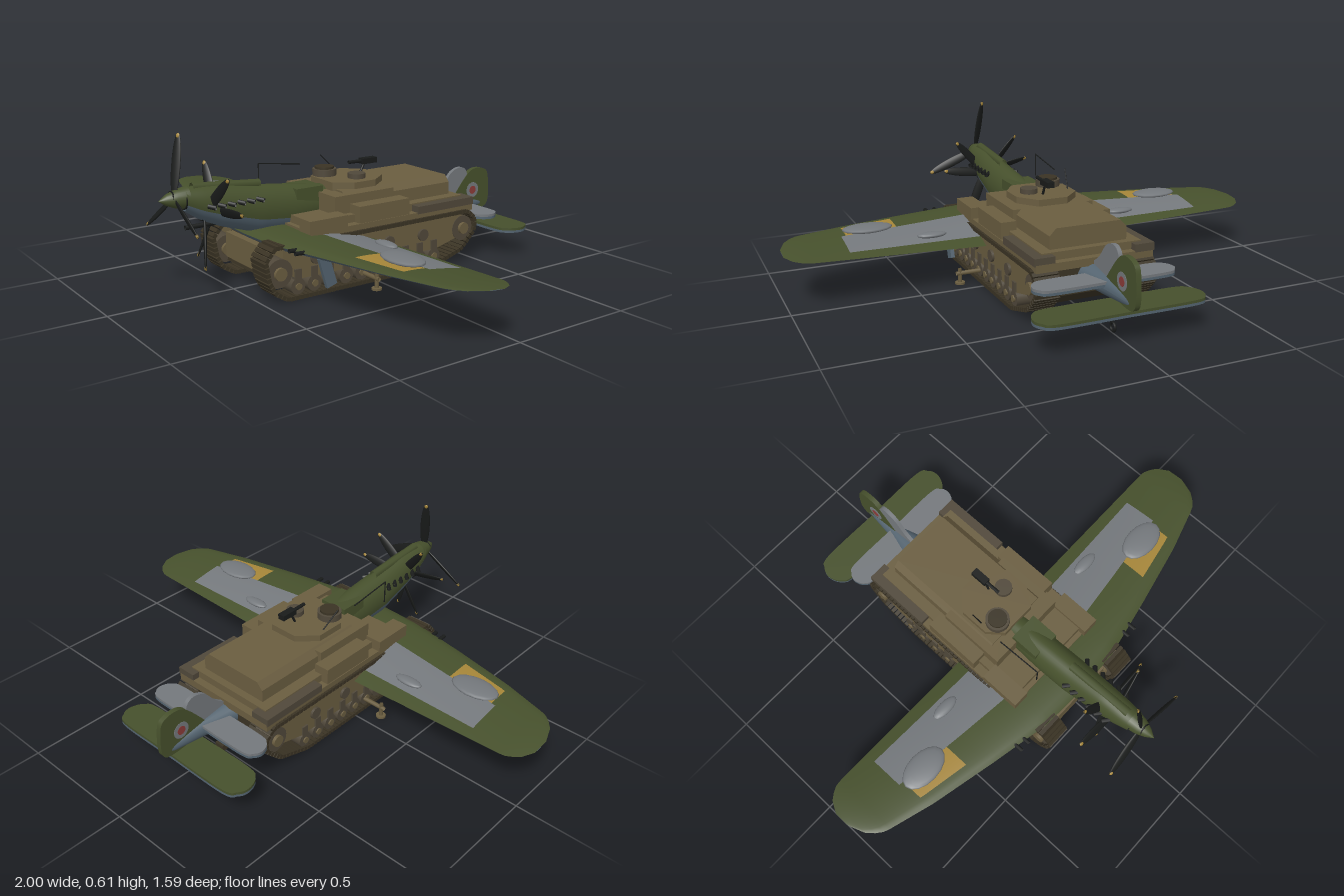
import * as THREE from 'three';
import { mergeGeometries } from 'three/addons/utils/BufferGeometryUtils.js';

const colors = { green: 0x46502c, grey: 0x74787c, blue: 0x53636f, brown: 0x6a5d40, dark: 0x3a3324, black: 0x191b1a, yellow: 0xa58538, red: 0x8a3b38, steel: 0x50483a };
const mats = {};
for (const k in colors) mats[k] = new THREE.MeshStandardMaterial({ color: colors[k], side: THREE.DoubleSide });

const lerpTable = (t, x) => {
  let i = 0;
  while (i < t.length - 2 && x > t[i + 1][0]) i++;
  const k = (x - t[i][0]) / (t[i + 1][0] - t[i][0]);
  return t[i].map((a, j) => a + (t[i + 1][j] - a) * k);
};

// surface patch from a rule f(u, v) -> [x, y, z]
function grid(f, nu, nv) {
  const pos = [], idx = [];
  for (let i = 0; i <= nu; i++) for (let j = 0; j <= nv; j++) pos.push(...f(i / nu, j / nv));
  for (let i = 0; i < nu; i++) for (let j = 0; j < nv; j++) {
    const a = i * (nv + 1) + j, b = a + nv + 1;
    idx.push(a, b, a + 1, b, b + 1, a + 1);
  }
  const g = new THREE.BufferGeometry();
  g.setAttribute('position', new THREE.Float32BufferAttribute(pos, 3));
  g.setIndex(idx);
  g.computeVertexNormals();
  return g;
}

function outline(pts, smooth) {
  const v = pts.map(p => new THREE.Vector2(...p));
  if (!smooth) return new THREE.Shape(v);
  const s = new THREE.Shape().moveTo(v[0].x, v[0].y);
  s.splineThru([...v.slice(1), v[0]]);
  return s;
}
const extrude = (s, depth) => new THREE.ExtrudeGeometry(s, { depth, bevelEnabled: false, curveSegments: 30 });
// side profile in (z, y), spanning x0..x1
const sideSlab = (s, x0, x1) => extrude(s, x1 - x0).rotateY(-Math.PI / 2).translate(x1, 0, 0);
// plan outline in (x, z), spanning y0..y1
const planSlab = (s, y0, y1) => extrude(s, y1 - y0).rotateX(Math.PI / 2).translate(0, y1, 0);

// wing table: x, leading z, trailing z, middle y, half thickness
const wingTable = [[0, .45, 0, .2, .045], [.2, .44, 0, .2, .042], [.45, .39, 0, .21, .028], [.72, .33, 0, .219, .018],
  [.92, .27, 0, .226, .011], [.97, .23, .025, .227, .007], [1, .15, .08, .228, .001]];
function wingPatch(side, top, x0, x1, c0, c1, lift = 0) {
  return grid((u, v) => {
    const x = x0 + (x1 - x0) * u, [, le, te, y, t] = lerpTable(wingTable, x);
    const c = c0 + (c1 - c0) * v, z = le + (te - le) * c;
    const profile = 1.9 * Math.sqrt(c) * (1 - c) * (1 + .5 * c);
    return [side * x, y + .1 * (z - .2) + top * (t * profile + lift), z];
  }, 40, 20);
}

export function createModel() {
  const root = new THREE.Group();
  const add = (name, geo, mat, x = 0, y = 0, z = 0, parent = root) => {
    const m = new THREE.Mesh(geo, mats[mat]);
    m.name = name;
    m.position.set(x, y, z);
    parent.add(m);
    return m;
  };
  const box = (name, mat, x0, x1, y0, y1, z0, z1) =>
    add(name, new THREE.BoxGeometry(x1 - x0, y1 - y0, z1 - z0), mat, (x0 + x1) / 2, (y0 + y1) / 2, (z0 + z1) / 2);
  const rod = (name, mat, a, b, r) => {
    const p = new THREE.Vector3(...a), q = new THREE.Vector3(...b);
    return add(name, new THREE.TubeGeometry(new THREE.LineCurve3(p, q), 1, r, 8), mat);
  };
  const disc = (name, mat, r, h, x, y, z, axis = 'y') => {
    const g = new THREE.CylinderGeometry(r, r, h, 20);
    if (axis === 'x') g.rotateZ(Math.PI / 2);
    if (axis === 'z') g.rotateX(Math.PI / 2);
    return add(name, g, mat, x, y, z);
  };

  // hull
  add('hull', sideSlab(outline([[.44, .08], [.38, .05], [-.36, .05], [-.47, .12], [-.47, .24], [.3, .24], [.42, .2]]), -.15, .15), 'dark');
  box('frontPlate', 'brown', -.14, .14, .1, .2, .4, .45);
  box('fenderDeck', 'brown', -.235, .235, .225, .255, -.49, .3);
  box('upperHull', 'brown', -.2, .2, .25, .285, -.46, .28);
  add('engineDeck', extrude(outline([[-.155, .27], [-.155, .335], [-.13, .362], [.13, .362], [.155, .335], [.155, .27]]), .52).translate(0, 0, -.43), 'brown');
  box('fightingCompartment', 'brown', -.17, .17, .28, .355, -.13, .15);
  add('turret', planSlab(outline([[-.07, .1], [.08, .1], [.13, .03], [.13, -.07], [.07, -.15], [-.05, -.15], [-.12, -.08], [-.12, .04]]), .35, .388), 'brown');
  disc('cupola', 'steel', .048, .03, -.055, .4, .045);
  disc('hatch', 'dark', .038, .012, -.055, .418, .045);
  disc('loaderHatch', 'steel', .035, .025, .06, .395, -.03);
  rod('machineGun', 'black', [.02, .44, -.15], [.02, .443, -.02], .007);
  box('machineGunBody', 'black', .005, .035, .43, .452, -.15, -.08);
  rod('gunPost', 'black', [.02, .38, -.07], [.02, .44, -.1], .005);
  rod('aerial', 'black', [-.1, .38, -.05], [-.12, .455, .02], .0025);
  rod('aerialWire', 'black', [-.12, .455, .31], [-.12, .43, .12], .0025);
  rod('aerialPost', 'black', [-.12, .36, .31], [-.12, .455, .31], .0025);

  // running gear on both sides
  const path = [[.46, .225], [.5, .18], [.485, .1], [.46, .055], [.41, .024], [-.28, .024], [-.43, .07], [-.5, .14], [-.5, .19], [-.46, .225]];
  const loop = outline([...path, path[0]]);
  const shoes = [], n = 110, pts = loop.getSpacedPoints(n);
  for (let i = 0; i < n; i++) {
    const a = pts[i], b = pts[i + 1];
    shoes.push(new THREE.BoxGeometry(.1, .016, .016).rotateX(-Math.atan2(b.y - a.y, b.x - a.x)).translate(0, (a.y + b.y) / 2, (a.x + b.x) / 2));
  }
  const shoeGeo = mergeGeometries(shoes);
  const panel = outline([[.42, .215], [.42, .13], [.36, .09], [-.3, .09], [-.42, .12], [-.45, .2], [-.43, .215]]);
  for (const s of [-1, 1]) {
    add('track', shoeGeo, 'dark', s * .195, 0, 0);
    add('sidePanel', sideSlab(panel, -.04, .04), 'brown', s * .19, 0, 0);
    for (let i = 0; i < 10; i++) {
      const z = .36 - i * .072;
      disc('roadWheel', 'steel', .031, .075, s * .197, .064, z, 'x');
      disc('wheelHub', 'brown', .013, .09, s * .197, .064, z, 'x');
      box('suspensionBracket', 'steel', s * .225 - .012, s * .225 + .012, .07, .13, z - .014, z + .014);
    }
    for (const [z, y, r] of [[.437, .125, .055], [-.44, .155, .052]]) {
      disc('endWheel', 'steel', r, .075, s * .195, y, z, 'x');
      disc('endWheelHub', 'brown', r * .45, .1, s * .195, y, z, 'x');
    }
    for (let i = 0; i < 4; i++) disc('sideDoor', 'steel', .024, .012, s * .234, .16, .28 - i * .17, 'x');
    box('stowageBox', 'brown', s * .205 - .035, s * .205 + .035, .25, .3, .14, .31);
    box('rearStowage', 'steel', s * .2 - .04, s * .2 + .04, .25, .28, -.49, -.2);
    box('airIntake', 'brown', s * .2 - .032, s * .2 + .032, .25, .32, -.16, .08);
    // outrigger jack
    rod('outriggerArm', 'brown', [s * .23, .06, .065], [s * .335, .06, .065], .009);
    rod('outriggerLeg', 'brown', [s * .32, .02, .065], [s * .32, .08, .065], .008);
    disc('outriggerFoot', 'brown', .02, .008, s * .32, .02, .065);
    // landing strut
    const strut = add('landingStrut', new THREE.BoxGeometry(.016, .12, .045), 'blue', s * .29, .12, .27);
    strut.rotation.x = .3;
    // wings and their painted panels
    add('wingTop', wingPatch(s, 1, 0, 1, 0, 1), 'green');
    add('wingUnderside', wingPatch(s, -1, 0, 1, 0, 1), 'blue');
    add('wingGreyPanel', wingPatch(s, 1, .2, .76, .42, .86, .003), 'grey');
    add('wingYellowPatch', wingPatch(s, 1, .53, .74, .14, .42, .002), 'yellow');
    add('gunBlister', new THREE.SphereGeometry(1, 16, 10).scale(.1, .014, .06), 'grey', s * .65, .25, .21);
    add('flapBulge', new THREE.SphereGeometry(1, 16, 10).scale(.06, .012, .025), 'grey', s * .42, .224, .1);
    disc('wingMarking', 'red', .03, .004, s * .74, .206, .15);
    for (const x of [.3, .34]) rod('wingGun', 'black', [s * x, .225, .38], [s * x, .228, .44], .008);
    // exhaust stubs
    for (let i = 0; i < 6; i++) rod('exhaust', 'black', [s * .05, .365, .62 - i * .04], [s * .073, .36, .6 - i * .04], .009);
  }

  // nose: z, middle y, half width, half height
  const body = [[.1, .3, .06, .07], [.25, .3, .066, .09], [.4, .315, .066, .092], [.55, .35, .058, .08], [.63, .37, .052, .064], [.695, .392, .042, .043]];
  const hoop = (a0, a1) => grid((u, v) => {
    const [z, y, w, h] = lerpTable(body, .1 + .595 * u), a = a0 + (a1 - a0) * v;
    return [w * Math.cos(a), y + h * Math.sin(a), z];
  }, 30, 24);
  add('noseTop', hoop(-.35, Math.PI + .35), 'green');
  add('noseUnderside', hoop(Math.PI + .35, 2 * Math.PI - .35), 'blue');
  box('cockpitFront', 'green', -.06, .06, .3, .378, .13, .25);
  rod('topCowl', 'green', [0, .408, .38], [0, .43, .66], .018);
  rod('chinGun', 'black', [0, .285, .45], [0, .285, .69], .009);
  disc('cowlRing', 'black', .04, .012, 0, .394, .692, 'z');
  const cone = [[0, .8], [.02, .77], [.034, .735], [.042, .69]].map(p => new THREE.Vector2(...p));
  add('spinner', new THREE.LatheGeometry(cone, 24).rotateX(Math.PI / 2), 'green', 0, .397, -.01);

  // propellers
  const propeller = (x, y, z, len, angles) => {
    const p = new THREE.Group();
    p.name = 'propeller';
    p.position.set(x, y, z);
    p.rotation.x = -.17;
    root.add(p);
    add('hub', new THREE.CylinderGeometry(.026, .026, .03, 16).rotateX(Math.PI / 2), 'black', 0, 0, 0, p);
    for (const a of angles) {
      const b = new THREE.Group();
      b.name = 'blade';
      b.rotation.z = (a - 90) * Math.PI / 180;
      p.add(b);
      add('bladeBody', new THREE.SphereGeometry(1, 12, 14).scale(.02, len / 2, .006).rotateY(.5), 'black', 0, len / 2, 0, b);
      add('bladeTip', new THREE.SphereGeometry(1, 8, 6).scale(.008, .01, .005).rotateY(.5), 'yellow', 0, len - .012, 0, b);
    }
  };
  propeller(0, .4, .73, .235, [96, 216, 336]);
  propeller(0, .325, .61, .21, [47, 167, 287]);
  propeller(0, .33, .57, .21, [127, 247, 7]);

  // tail
  const tail = [[-.78, .17, .006, .012], [-.6, .18, .03, .035], [-.44, .19, .07, .05]];
  add('tailBoom', grid((u, v) => {
    const [z, y, w, h] = lerpTable(tail, -.78 + .34 * u), a = 2 * Math.PI * v;
    return [w * Math.cos(a), y + h * Math.sin(a), z];
  }, 16, 24), 'blue');
  const greyFin = [[-.43, .21], [-.52, .265], [-.58, .33], [-.64, .343], [-.67, .3], [-.66, .19]];
  const greenFin = [[-.56, .18], [-.65, .29], [-.7, .328], [-.76, .325], [-.79, .29], [-.79, .17], [-.72, .15]];
  add('forwardFin', sideSlab(outline(greyFin, true), -.008, .008), 'grey');
  add('rearFin', sideSlab(outline(greenFin, true), -.01, .01), 'green');
  disc('finMarking', 'grey', .034, .023, 0, .235, -.7, 'x');
  disc('finMarkingCentre', 'red', .018, .025, 0, .235, -.7, 'x');
  const plane = (w, z0, z1) => outline([[0, z0], [w * .8, z0], [w * .96, z0 * .8 + z1 * .2], [w, (z0 + z1) / 2], [w * .93, z1 * .85 + z0 * .15], [w * .75, z1], [0, z1],
    [-w * .75, z1], [-w * .93, z1 * .85 + z0 * .15], [-w, (z0 + z1) / 2], [-w * .96, z0 * .8 + z1 * .2], [-w * .8, z0]], true);
  for (const [name, mat, w, z0, z1, y] of [['rearTailplane', 'green', .33, -.745, -.6, .13], ['forwardTailplane', 'grey', .28, -.61, -.5, .195]]) {
    add(name, planSlab(plane(w, z0, z1), y, y + .01), mat);
    add(name + 'Underside', planSlab(plane(w, z0, z1), y - .01, y), 'blue');
  }
  add('tailWheel', new THREE.TorusGeometry(.016, .005, 8, 20).rotateY(Math.PI / 2), 'black', 0, .04, -.625);
  rod('tailWheelLeg', 'black', [0, .05, -.62], [0, .15, -.6], .004);
  box('towHook', 'dark', -.02, .02, .025, .05, -.52, -.47);
  return root;
}
